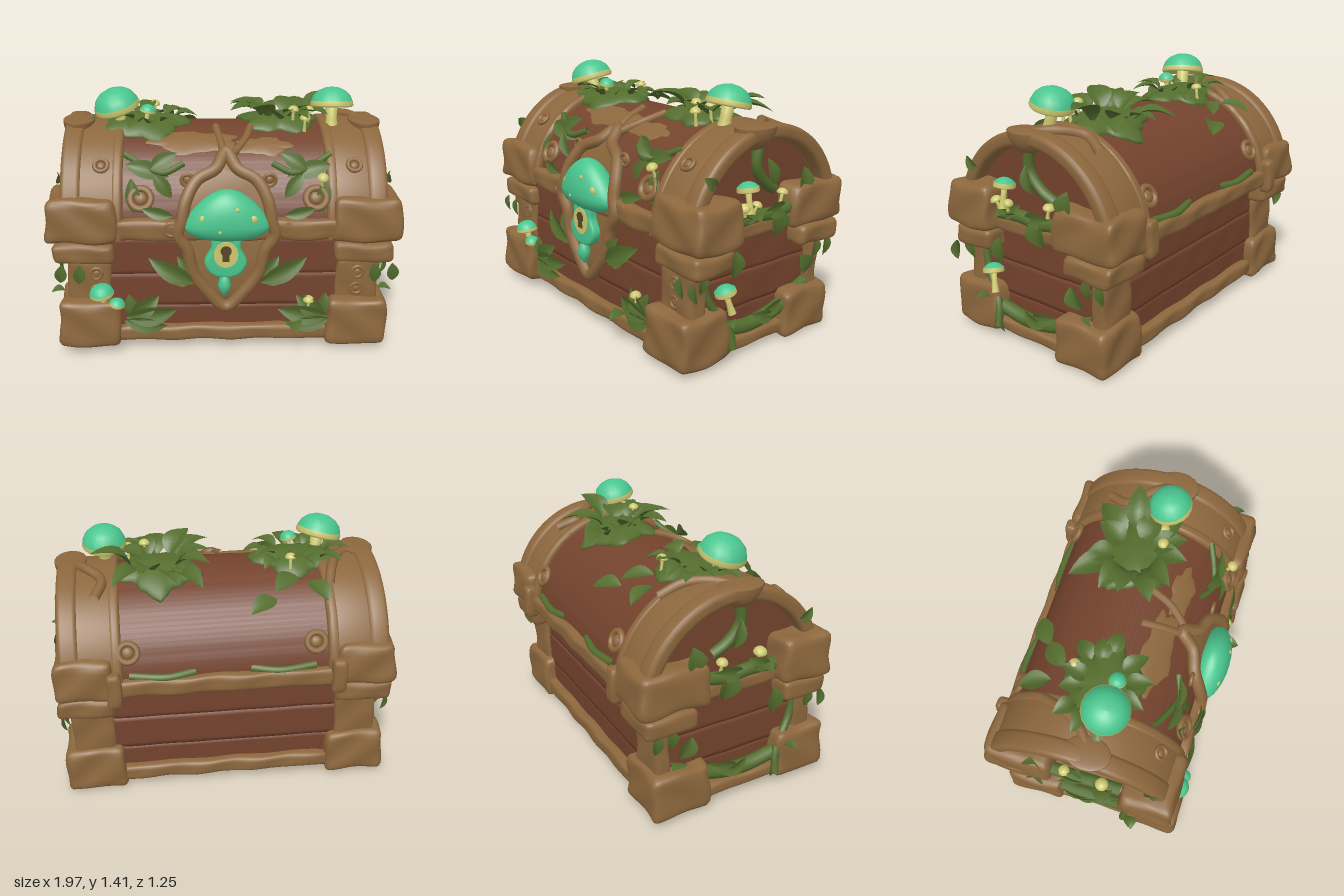
import * as THREE from 'three';
import { mergeVertices, toCreasedNormals } from 'three/addons/utils/BufferGeometryUtils.js';

const V = (x, y, z) => new THREE.Vector3(x, y, z);

export function createModel() {
  const model = new THREE.Group();
  const chest = new THREE.Group();
  chest.name = 'chest';
  chest.rotation.z = -0.012;
  chest.position.y = 0.012;
  model.add(chest);

  const mat = (name, color, side = THREE.FrontSide) => {
    const m = new THREE.MeshStandardMaterial({ color, side });
    m.name = name;
    return m;
  };
  const wood = mat('red brown wood', 0x74432d);
  const trim = mat('tan trim', 0x8c673d);
  const green = mat('leaf green', 0x546d2e, THREE.DoubleSide);
  const teal = mat('teal cap', 0x4ac68f, THREE.DoubleSide);
  const cream = mat('pale yellow', 0xcdc870, THREE.DoubleSide);
  const dark = mat('keyhole brown', 0x5a4522);

  const add = (name, geo, material, p = [0, 0, 0]) => {
    const m = new THREE.Mesh(geo, material);
    m.name = name;
    m.position.set(...p);
    chest.add(m);
    return m;
  };
  let seed = 7;
  const rnd = () => (seed = (seed * 16807) % 2147483647) / 2147483647;

  // Moves every vertex by a rule and smooths the result
  const warp = (geo, rule) => {
    geo.deleteAttribute('uv');
    geo.deleteAttribute('normal');
    const g = mergeVertices(geo, 1e-4), a = g.attributes.position, v = V();
    for (let i = 0; i < a.count; i++) {
      rule(v.fromBufferAttribute(a, i));
      a.setXYZ(i, v.x, v.y, v.z);
    }
    g.computeVertexNormals();
    return g;
  };
  // Worn rounded block given by its bounds; taper narrows the top
  const block = (name, material, x0, x1, y0, y1, z0, z1, r = 0.035, amp = 0.005, taper = 0) => {
    const s = V(x1 - x0, y1 - y0, z1 - z0), c = V((x0 + x1) / 2, (y0 + y1) / 2, (z0 + z1) / 2);
    r = Math.min(r, s.x / 2.1, s.y / 2.1, s.z / 2.1);
    const h = s.clone().multiplyScalar(0.5).subScalar(r), inner = V();
    const n = (d) => Math.min(26, Math.max(8, Math.round(d / 0.025)));
    const geo = warp(new THREE.BoxGeometry(s.x, s.y, s.z, n(s.x), n(s.y), n(s.z)), (v) => {
      inner.copy(v).clamp(h.clone().negate(), h);
      v.sub(inner).setLength(r).add(inner);
      const k = 1 - taper * (v.y / s.y + 0.5);
      v.x *= k;
      v.z *= k;
      const q = v.clone().add(c);
      v.x += amp * Math.sin(q.y * 23 + q.z * 19);
      v.y += amp * Math.sin(q.x * 17 + q.z * 21);
      v.z += amp * Math.sin(q.x * 22 + q.y * 27);
    });
    return add(name, geo, material, c.toArray());
  };
  const tube = (name, pts, r, material, closed = false) =>
    add(name, new THREE.TubeGeometry(new THREE.CatmullRomCurve3(pts.map((p) => V(...p)), closed), pts.length * 8, r, 8, closed), material);

  // Lid surface rules
  const CZ = -0.04, CY = 0.7;
  const lidY = (z) => CY + 0.47 * Math.sqrt(Math.max(0, 1 - ((z - CZ) / 0.51) ** 2));
  const frontZ = (y) => (y < CY ? 0.46 : CZ + 0.5 * Math.sqrt(Math.max(0.05, 1 - ((y - CY) / 0.48) ** 2)));

  // Half-arch section run along x; zero thickness makes it solid
  const arch = (name, material, x0, x1, rz, ry, thick, groove = 0, bevel = 0) => {
    const s = new THREE.Shape(), N = 56;
    const pt = (i, t) => {
      const a = (Math.PI * i) / N, k = 1 - (groove && i % 7 === 0 ? groove : 0);
      return [-CZ + (rz - t) * k * Math.cos(a), CY - 0.04 + (ry + 0.04 - t) * k * Math.sin(a)];
    };
    for (let i = 0; i <= N; i++) i ? s.lineTo(...pt(i, 0)) : s.moveTo(...pt(i, 0));
    if (thick) for (let i = N; i >= 0; i--) s.lineTo(...pt(i, thick));
    const geo = new THREE.ExtrudeGeometry(s, {
      depth: x1 - x0 - 2 * bevel, bevelEnabled: bevel > 0, bevelSize: bevel, bevelThickness: bevel, bevelOffset: -bevel, bevelSegments: 3,
    });
    geo.rotateY(Math.PI / 2).translate(x0 + bevel, 0, 0);
    add(name, toCreasedNormals(geo, 0.6), material);
  };

  // Planked body and lid
  [[0.045, 0.25, 0], [0.245, 0.44, 0.004], [0.435, 0.65, 0]].forEach(([a, b, o]) =>
    block('bodyPlank', wood, -0.83 - o, 0.79 + o, a, b, -0.46 - o, 0.45 + o, 0.004, 0.001));
  arch('lidPanel', wood, -0.81, 0.77, 0.5, 0.47, 0, 0.005);

  // Rails along the front and back
  for (const [z0, z1] of [[0.42, 0.5], [-0.51, -0.43]])
    block('bottomRail', trim, -0.6, 0.6, 0.04, 0.13, z0, z1, 0.025, 0.004);
  block('lidFrontRail', trim, -0.62, 0.62, 0.65, 0.77, 0.42, 0.5, 0.03, 0.005);
  block('lidBackRail', trim, -0.62, 0.62, 0.64, 0.74, -0.58, -0.48, 0.025, 0.004);

  // Scrolled knot on a plank or post
  const knot = (p, r, tilt = 0) => {
    const g = new THREE.Group();
    g.name = 'woodKnot';
    g.add(new THREE.Mesh(new THREE.TorusGeometry(r, r * 0.35, 8, 18), trim));
    const core = new THREE.Mesh(new THREE.SphereGeometry(r * 0.65, 12, 8), trim);
    core.scale.z = 0.5;
    g.add(core);
    g.position.set(...p);
    g.rotation.x = tilt;
    chest.add(g);
  };

  // Corner hardware, mirrored left and right about the body's centre
  const MX = -0.018;
  for (const s of [-1, 1]) {
    const span = (a, c) => [Math.min(s * a, s * c) + MX, Math.max(s * a, s * c) + MX];
    const b = (name, x0, x1, ...rest) => block(name, trim, ...span(x0, x1), ...rest);
    b('frontFoot', 0.57, 0.915, 0.025, 0.3, 0.23, 0.55, 0.035, 0.006, 0.05);
    b('backFoot', 0.57, 0.91, 0.005, 0.265, -0.53, -0.18, 0.035, 0.006, 0.05);
    b('frontPost', 0.62, 0.86, 0.25, 0.54, 0.36, 0.47, 0.025, 0.004);
    b('backPost', 0.62, 0.85, 0.22, 0.54, -0.49, -0.4, 0.025, 0.004);
    b('frontBodyCorner', 0.6, 0.93, 0.515, 0.63, 0.24, 0.5, 0.03);
    b('backBodyCorner', 0.6, 0.91, 0.515, 0.63, -0.57, -0.27, 0.03);
    b('frontLidCorner', 0.57, 0.97, 0.64, 0.885, 0.2, 0.52, 0.04, 0.006, 0.1);
    b('backLidCorner', 0.59, 0.92, 0.635, 0.865, -0.6, -0.19, 0.04, 0.006, 0.08);
    b('hinge', 0.56, 0.64, 0.6, 0.8, -0.62, -0.54, 0.025, 0.003);
    b('floorStrap', 0.54, 0.6, 0.03, 0.08, -0.49, 0.48, 0.015, 0.003);
    b('lidEndRail', 0.76, 0.88, 0.64, 0.73, -0.3, 0.3, 0.025, 0.004);
    b('bottomEndRail', 0.76, 0.88, 0.035, 0.11, -0.3, 0.3, 0.025, 0.004);
    arch('lidStrap', trim, ...span(0.57, 0.8), 0.53, 0.495, 0.07, 0, 0.015);
    arch('strapEdge', trim, ...span(0.55, 0.61), 0.535, 0.5, 0.07, 0, 0.02);
    arch('lidRim', trim, ...span(0.77, 0.88), 0.54, 0.512, 0.08, 0, 0.025);
    // Bracket below the top of the rim
    const bowl = new THREE.SphereGeometry(0.125, 18, 8, 0, Math.PI * 2, Math.PI / 2, Math.PI / 2);
    add('rimBracket', bowl, trim, [s * 0.81 + MX, 1.2, 0.015]).scale.set(0.72, 0.95, 1);
    const lip = new THREE.SphereGeometry(0.125, 18, 6, 0, Math.PI * 2, 0, Math.PI / 2);
    add('bracketLip', lip, trim, [s * 0.81 + MX, 1.2, 0.015]).scale.set(0.72, 0.1, 1);
    for (const y of [0.35, 0.45]) knot([s * 0.72, y, 0.465], 0.032);
    knot([s * 0.47, 0.88, frontZ(0.88) + 0.015], 0.055, -0.45);
    knot([s * 0.5, 0.88, -0.51], 0.05, 0.45);
    knot([s * 0.68, 1.04, frontZ(1.04) + 0.05], 0.035, -0.8);
  }

  // Leaf: base point, growing direction, facing, length, width, droop
  const leaf = (p, dir, face, len = 0.15, wid = 0.07, curl = 0.3) => {
    const y = V(...dir).normalize(), x = y.clone().cross(V(...face)).normalize(), z = x.clone().cross(y);
    const geo = warp(new THREE.PlaneGeometry(1, 1, 4, 7), (v) => {
      const t = v.y + 0.5;
      const w = wid * (0.12 + Math.sin(Math.PI * Math.pow(t, 0.9))) * (t > 0.99 ? 0 : 1);
      v.set(v.x * w, t * len, Math.abs(v.x) * w * 0.4 + len * curl * (t - 1.6 * t * t));
    });
    const m = add('leaf', geo, green, p);
    m.quaternion.setFromRotationMatrix(new THREE.Matrix4().makeBasis(x, y, z));
  };
  // Ragged patch lying on the lid
  const patch = (name, material, cx, cz, rx, rz, high) => add(name, warp(new THREE.SphereGeometry(1, 36, 16), (v) => {
    const a = Math.atan2(v.z, v.x), k = 1 + 0.13 * Math.sin(5 * a + cx * 9) + 0.06 * Math.sin(11 * a);
    v.set(v.x * rx * k, v.y * high, v.z * rz * k);
    v.y += lidY(cz + v.z);
  }), material, [cx, 0, cz]);
  // Leafy clump with a mossy base on top of the lid
  const clump = (cx, cz, rx, rz, n, len, rise) => {
    patch('mossPatch', green, cx, cz, rx, rz, 0.055);
    for (let i = 0; i < n; i++) {
      const a = (i / n) * Math.PI * 2 + rnd() * 0.3, k = 0.35 + 0.4 * rnd();
      const x = cx + Math.cos(a) * rx * k, z = cz + Math.sin(a) * rz * k;
      leaf([x, lidY(z) + 0.03, z], [Math.cos(a), rise * (0.4 + rnd()) - 0.4 * Math.abs(z) * Math.abs(Math.sin(a)), Math.sin(a)],
        [0, 1, 0], len * (0.8 + 0.4 * rnd()), len * 0.62, 0.5);
    }
  };
  clump(-0.47, -0.02, 0.25, 0.2, 12, 0.14, 0.55);
  clump(0.31, -0.09, 0.22, 0.21, 13, 0.2, 0.75);
  for (const [x, z, dx] of [[-0.5, -0.3, -0.3], [-0.3, -0.38, 1], [-0.42, -0.25, 0.6]])
    leaf([x, lidY(z) + 0.03, z], [dx, -0.1, -0.7], [0, 1, -0.4], 0.18, 0.1, 0.2);
  // Bare bark patches behind the clasp
  patch('barkPatch', trim, -0.18, 0.19, 0.24, 0.08, 0.012);
  patch('barkPatch', trim, 0.2, 0.22, 0.15, 0.06, 0.012);

  // Mushroom from the foot of its stem
  const mushroom = (p, r, h, tiltX = 0, tiltZ = 0, cap = teal, rim = 0.1) => {
    const g = new THREE.Group();
    g.name = 'mushroom';
    const lathe = (name, pts, m) => {
      const q = new THREE.Mesh(new THREE.LatheGeometry(pts.map(([x, y]) => new THREE.Vector2(x * r, y)), 18), m);
      q.name = name;
      g.add(q);
    };
    lathe('stem', [[0.38, 0], [0.26, h * 0.5], [0.3, h], [0, h]], cream);
    lathe('gills', [[0.25, h - 0.05 * r], [0.98, h - 0.18 * r], [1.04, h - 0.1 * r], [1, h + rim * r]], cream);
    lathe('cap', [[1, h + rim * r], [0.88, h + 0.38 * r], [0.65, h + 0.6 * r], [0.34, h + 0.74 * r], [0, h + 0.79 * r]], cap);
    g.position.set(...p);
    g.rotation.set(tiltX, 0, tiltZ);
    chest.add(g);
  };
  mushroom([-0.57, 1.12, 0.02], 0.125, 0.175, 0.15, 0.25);
  mushroom([-0.46, 1.15, 0.05], 0.045, 0.11, 0, -0.2);
  mushroom([0.6, 1.13, 0.06], 0.118, 0.17, -0.22, 0);
  for (const [x, z, h] of [[0.38, 0.04, 0.1], [0.47, 0.02, 0.09], [0.44, 0.1, 0.08], [-0.41, -0.2, 0.09]])
    mushroom([x, lidY(z), z], 0.03, h, 0.1, 0, cream);
  mushroom([-0.68, 0.25, 0.49], 0.066, 0.1, 0.1, 0.12);
  mushroom([-0.62, 0.23, 0.51], 0.042, 0.06, 0.1, -0.2, teal, 0.2);
  mushroom([0.45, 0.22, 0.5], 0.03, 0.08, 0.1, 0, cream);
  mushroom([0.5, 0.94, 0.42], 0.03, 0.06, 0.4, 0, cream);
  mushroom([0.89, 0.79, 0.13], 0.056, 0.12, 0, 0.2, teal, 0.3);
  mushroom([0.88, 0.78, 0.16], 0.03, 0.05, 0.3, -0.2, cream);
  mushroom([0.88, 0.78, 0.1], 0.026, 0.05, -0.3, -0.2, cream);
  mushroom([0.89, 0.28, 0.23], 0.056, 0.12, 0.25, 0.2, teal, 0.3);
  mushroom([0.84, 0.78, -0.14], 0.03, 0.06, -0.2, 0, cream);
  mushroom([-0.88, 0.76, 0.1], 0.035, 0.08, 0, 0.2, cream);
  mushroom([-0.87, 0.76, -0.12], 0.03, 0.07, 0, 0.2, cream);

  // Vines and leaves over both ends
  for (const s of [-1, 1]) {
    const e = (x, y, z) => [s * x + MX, y, z];
    const d = (x, y, z) => [s * x, y, z];
    tube('hangingVine', [e(0.82, 1.12, 0.0), e(0.82, 1.0, 0.01), e(0.81, 0.9, -0.06), e(0.8, 0.85, -0.14)], 0.03, green);
    tube('railVine', [e(0.86, 0.74, 0.2), e(0.86, 0.75, 0.05), e(0.86, 0.74, -0.1), e(0.85, 0.78, -0.32)], 0.036, green);
    tube('lowVine', [e(0.85, 0.18, 0.26), e(0.84, 0.14, 0.05), e(0.84, 0.17, -0.15), e(0.82, 0.26, -0.4)], 0.04, green);
    tube('postVine', [e(0.83, 0.52, 0.38), e(0.84, 0.36, 0.34), e(0.88, 0.2, 0.24), e(0.91, 0.08, 0.22)], 0.022, green);
    for (const [y, z, dy, dz, l, w] of [
      [0.83, -0.28, 1, -0.1, 0.13, 0.1], [0.76, -0.08, -1, -0.2, 0.15, 0.12], [0.6, 0.2, -1, 0, 0.15, 0.09],
      [0.46, -0.3, -0.7, -0.4, 0.13, 0.1], [0.2, 0.24, -1, -0.1, 0.18, 0.07],
      [0.16, -0.1, 0.3, 1, 0.16, 0.07], [0.2, -0.02, 0.2, -1, 0.16, 0.07], [0.9, -0.06, 1, 0.3, 0.15, 0.07],
      [0.54, -0.42, -1, 0.1, 0.12, 0.06], [0.54, -0.5, -1, 0, 0.13, 0.06], [0.54, 0.42, -1, 0, 0.12, 0.06],
      [0.74, 0.16, 0.6, -1, 0.14, 0.07], [0.76, 0, 0.1, -1, 0.17, 0.08],
    ]) leaf(e(0.88, y, z), d(0.05, dy, dz), d(1, 0, 0), l, w, 0.2);
    leaf(e(0.87, 0.73, 0.1), d(1, 0.6, 0.2), [0, 1, 0], 0.11, 0.1, 0.4);
    leaf(e(0.91, 0.24, 0.27), d(0.8, 0.3, 0.3), [0, 1, 0], 0.08, 0.07, 0.4);
    leaf(e(0.87, 0.95, 0.34), d(0.2, 0.5, 0.6), d(1, 0, 0), 0.1, 0.06, 0.3);

    // Leaves over the front
    for (const [x, y, dx, dy, l, w] of [
      [0.18, 0.41, 1, 0.55, 0.29, 0.1], [0.18, 0.45, 0.6, 0.7, 0.15, 0.06], [0.55, 1.04, -1, -0.25, 0.24, 0.09], [0.42, 1.02, -0.8, 0.5, 0.17, 0.08],
      [0.4, 1.0, -0.7, -0.9, 0.16, 0.07], [0.52, 0.98, -0.1, -1, 0.2, 0.07], [0.3, 0.8, 0.9, 0.2, 0.17, 0.06],
      [0.56, 0.2, -1, 0.1, 0.28, 0.11], [0.54, 0.2, -0.8, 0.6, 0.2, 0.1], [0.57, 0.18, -0.9, -0.2, 0.24, 0.09], [0.52, 0.22, 0.2, 1, 0.12, 0.07],
      [0.8, 0.52, 0.1, -1, 0.12, 0.06], [0.9, 0.52, 0.1, -1, 0.11, 0.06],
    ]) leaf(d(x, y, frontZ(y) + 0.045), d(dx, dy, -Math.max(0, y - 0.75) * dy), [0, Math.max(0, y - 0.75) * 2, 1], l, w, 0.15);
    tube('lidVine', [d(0.56, 1.08, 0.29), d(0.45, 1.03, 0.34), d(0.35, 1.0, 0.37), d(0.24, 1.04, 0.33)], 0.018, green);
    // Vine along the back rail
    tube('backRailVine', [d(0.15, 0.75, -0.52), d(0.3, 0.74, -0.55), d(0.5, 0.75, -0.53)], 0.022, green);
  }
  leaf([0.36, 0.15, 0.5], [0.1, 0.3, 1], [0, 1, 0], 0.12, 0.09, 0.4);

  // Clasp plate and its pointed frame, following the front
  const half = [[0, 1.09], [0.06, 1.02], [0.16, 0.97], [0.22, 0.87], [0.24, 0.77], [0.26, 0.69], [0.21, 0.6], [0.18, 0.47], [0.1, 0.35], [0, 0.26]];
  const outline = [...half, ...half.slice(1, -1).reverse().map(([x, y]) => [-x, y])];
  tube('claspFrame', outline.map(([x, y]) => [x - 0.01, y, frontZ(y) + 0.03]), 0.035, trim, true);
  const plate = new THREE.ExtrudeGeometry(new THREE.Shape(outline.map((p) => new THREE.Vector2(...p))), { depth: 0.03, bevelEnabled: false });
  add('claspPlate', warp(plate, (v) => { v.z += frontZ(v.y) - 0.005; }), trim, [-0.01, 0, 0]);
  for (const s of [-1, 1]) {
    for (const [x, y, r] of [[0.25, 0.42, 0.035], [0.31, 0.72, 0.035], [0.22, 0.97, 0.032]]) knot([s * x, y, frontZ(y) + 0.03], r);
    tube('claspRoot', [[s * 0.02, 1.07, 0.29], [s * 0.07 + 0.03, 1.13, 0.18], [s * 0.1 + 0.04, 1.17, 0.06]], 0.022, trim);
  }

  // Mushroom lock
  const cap = warp(new THREE.SphereGeometry(1, 28, 18), (v) => {
    const y = v.y < 0 ? v.y * 0.62 : v.y;
    v.set(v.x * 0.235 * (1 - 0.28 * Math.max(0, v.y)), y * 0.18 - 0.02 * v.x * v.x, v.z * 0.105);
  });
  add('lockCap', cap, teal, [-0.01, 0.765, 0.48]);
  for (const [x, y, z, r] of [[-0.135, 0.8, 0.548, 0.026], [0.125, 0.8, 0.55, 0.024], [0.04, 0.86, 0.565, 0.013], [-0.05, 0.74, 0.58, 0.01]])
    add('capSpot', new THREE.SphereGeometry(r, 10, 8), cream, [x, y, z]).scale.z = 0.5;
  const pear = new THREE.Shape(new THREE.SplineCurve(
    [[0, 0.13], [0.075, 0.11], [0.08, 0.04], [0.115, -0.04], [0.075, -0.11], [0, -0.13], [-0.075, -0.11], [-0.115, -0.04], [-0.08, 0.04], [-0.075, 0.11], [0, 0.13]]
      .map((p) => new THREE.Vector2(...p))).getPoints(40));
  const slab = (name, shape, depth, m, p, bevel = 0) => add(name, toCreasedNormals(new THREE.ExtrudeGeometry(shape, {
    depth, bevelEnabled: bevel > 0, bevelSize: bevel, bevelThickness: bevel, bevelOffset: -bevel, bevelSegments: 3 }), 0.7), m, p);
  slab('lockStem', pear, 0.03, teal, [-0.015, 0.58, 0.49], 0.015);
  const oval = new THREE.Shape().absellipse(0, 0, 0.066, 0.076, 0, Math.PI * 2);
  slab('keyPlate', oval, 0.006, cream, [-0.015, 0.592, 0.534]);
  add('keyholeTop', new THREE.CylinderGeometry(0.03, 0.03, 0.008, 16).rotateX(Math.PI / 2), dark, [-0.015, 0.615, 0.54]);
  add('keyholeSlot', new THREE.BoxGeometry(0.038, 0.065, 0.008), dark, [-0.015, 0.585, 0.54]);
  const drop = new THREE.LatheGeometry([[0, -0.075], [0.025, -0.04], [0.038, 0], [0.025, 0.04], [0, 0.08]].map((p) => new THREE.Vector2(...p)), 14);
  add('lockDrop', drop, teal, [-0.02, 0.405, 0.515]);

  // Roots creeping over the lid
  tube('lidRoot', [[-0.82, 1.18, 0.02], [-0.7, 1.19, -0.08], [-0.64, 1.18, -0.2], [-0.6, 1.12, -0.32]], 0.028, trim);
  tube('lidRoot', [[0.8, 1.18, 0.02], [0.72, 1.2, -0.1], [0.62, 1.17, -0.22], [0.66, 1.12, -0.34]], 0.028, trim);
  return model;
}
